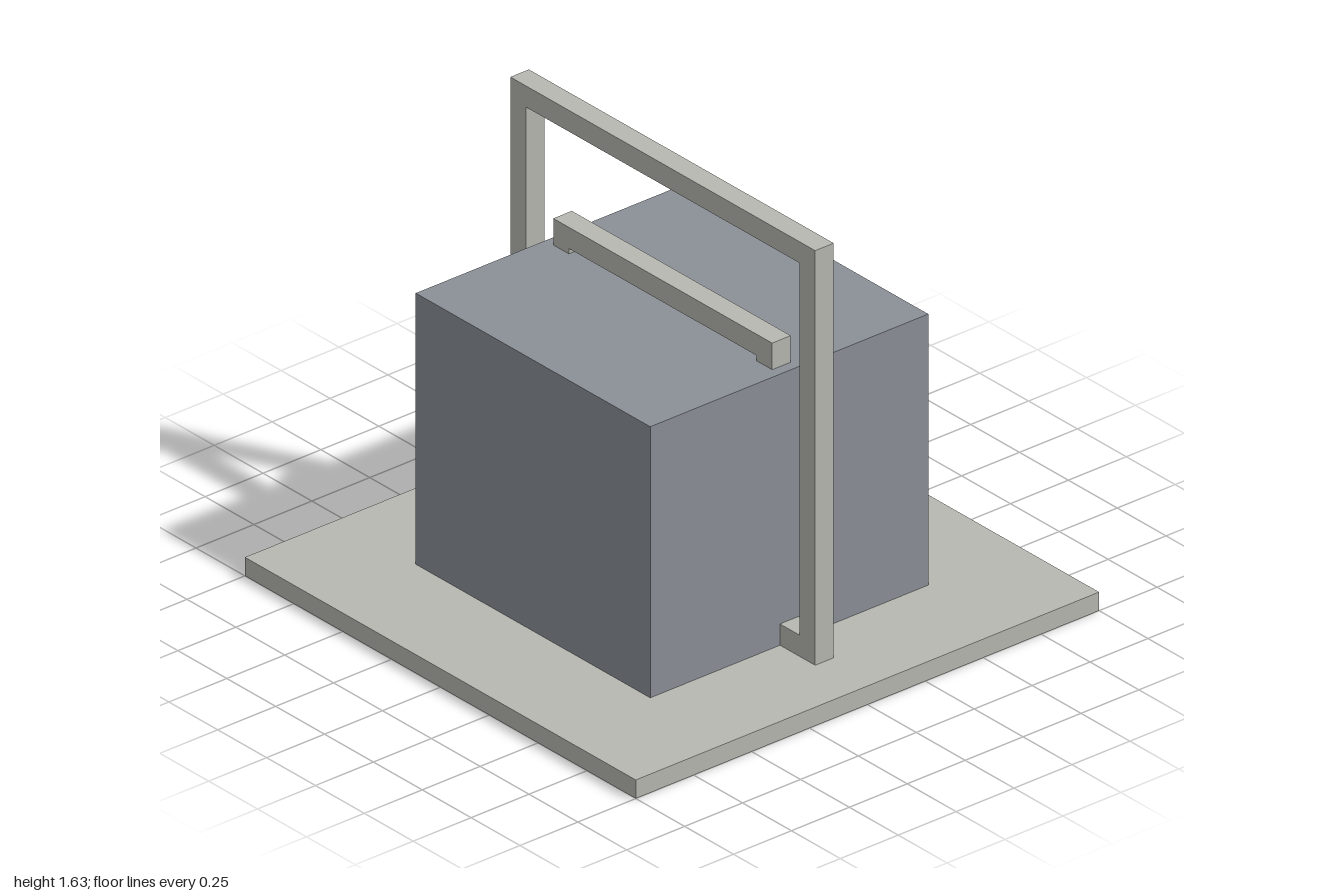
import * as THREE from 'three';

export function createModel() {
  const model = new THREE.Group();
  const paleGrey = new THREE.MeshStandardMaterial({ name: 'pale grey', color: 0xb8b8b2 });
  const slateGrey = new THREE.MeshStandardMaterial({ name: 'slate grey', color: 0x8b9097 });
  const BAR = 0.08; // square bar thickness of both frames

  function add(name, geometry, material, y) {
    const mesh = new THREE.Mesh(geometry, material);
    mesh.name = name;
    mesh.position.y = y;
    model.add(mesh);
  }

  // Outline rectangle centred on x, from y0 to y1
  function rectangle(path, halfWidth, y0, y1) {
    path.moveTo(-halfWidth, y0);
    path.lineTo(halfWidth, y0);
    path.lineTo(halfWidth, y1);
    path.lineTo(-halfWidth, y1);
    path.closePath();
    return path;
  }

  function extrudeBar(shape) {
    return new THREE.ExtrudeGeometry(shape, { depth: BAR, bevelEnabled: false })
      .translate(0, 0, -BAR / 2);
  }

  // Square base plate and block
  add('basePlate', new THREE.BoxGeometry(2, 0.07, 2), paleGrey, 0.035);
  add('block', new THREE.BoxGeometry(1.2, 1.02, 1.2), slateGrey, 0.58);

  // Closed frame around the block, its lower bar running through it
  const frame = rectangle(new THREE.Shape(), 0.78, 0, 1.56);
  frame.holes.push(rectangle(new THREE.Path(), 0.78 - BAR, BAR, 1.56 - BAR));
  add('outerFrame', extrudeBar(frame), paleGrey, 0.07);

  // Low handle with two short feet on top of the block
  const handle = new THREE.Shape([
    [-0.56, 0], [-0.48, 0], [-0.48, 0.02], [0.48, 0.02],
    [0.48, 0], [0.56, 0], [0.56, 0.1], [-0.56, 0.1],
  ].map(([x, y]) => new THREE.Vector2(x, y)));
  add('topHandle', extrudeBar(handle), paleGrey, 1.09);

  return model;
}
